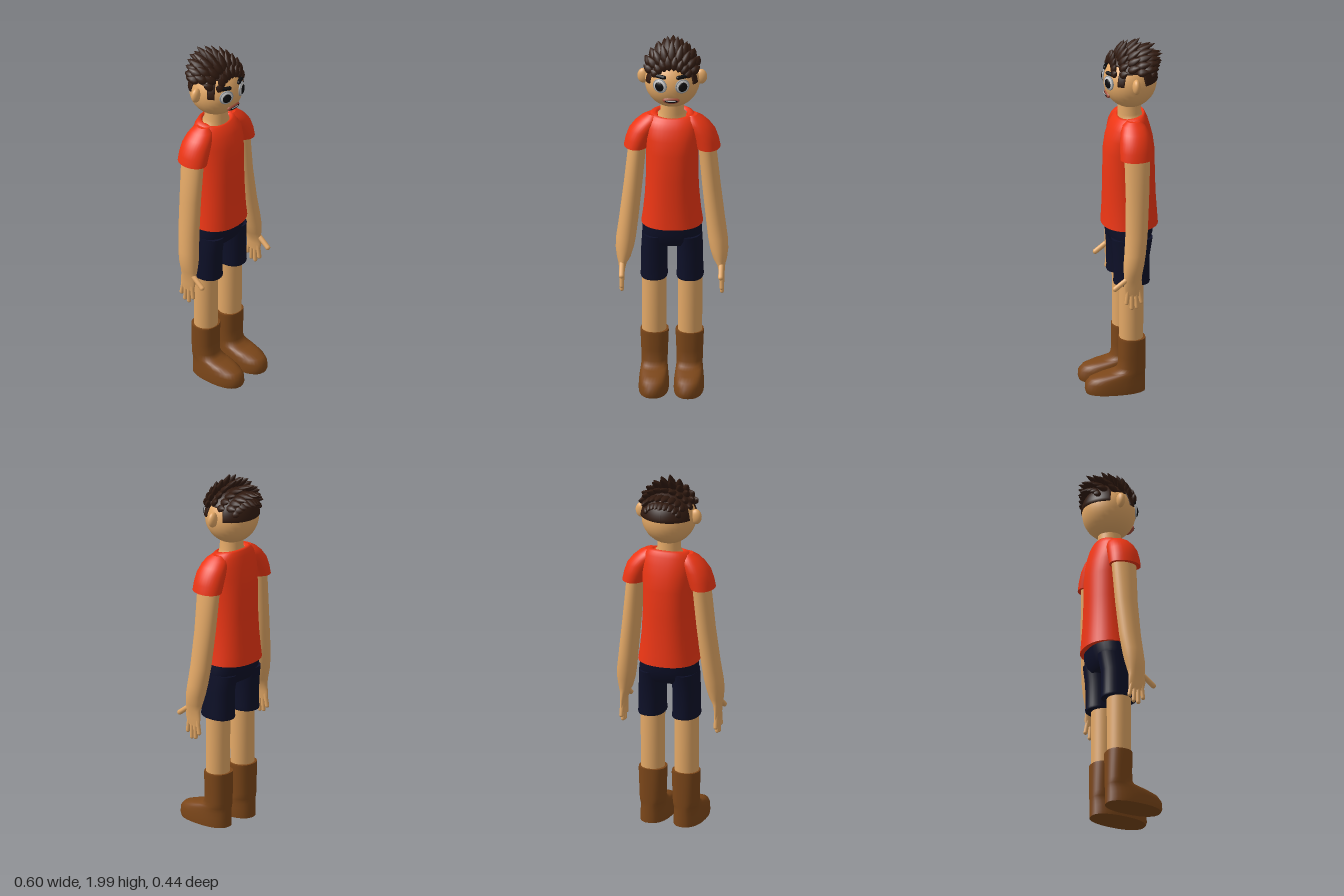
import * as THREE from 'three';

const mat = (color) => new THREE.MeshStandardMaterial({ color });
const skin = mat(0xe3a866), red = mat(0xee3614), navy = mat(0x0d1028), leather = mat(0x7b4619);
const brown = mat(0x301a10), black = mat(0x0c0c0e), grey = mat(0x9a9ea2), white = mat(0xf2f2f2), lip = mat(0xa8503c);
const HEAD = new THREE.Vector3(0, 1.757, -0.04);
const RX = 0.148, RY = 0.148, RZ = 0.143;

// Stacked horizontal rings, bottom first: [y, cx, cz, rx, rz, tilt]; n is the roundness exponent
function loft(rings, { n = 2, seg = 32, top = true } = {}) {
  const pos = [], idx = [];
  const point = ([y, cx, cz, rx, rz, tilt = 0], j) => {
    const a = (j / seg) * Math.PI * 2, s = Math.sin(a), c = Math.cos(a);
    const dz = rz * Math.sign(c) * Math.abs(c) ** (2 / n);
    pos.push(cx + rx * Math.sign(s) * Math.abs(s) ** (2 / n), y + tilt * dz, cz + dz);
  };
  rings.forEach((r, i) => {
    for (let j = 0; j < seg; j++) {
      point(r, j);
      if (i === 0) continue;
      const k = (j + 1) % seg, a = (i - 1) * seg, b = i * seg;
      idx.push(a + j, a + k, b + k, a + j, b + k, b + j);
    }
  });
  const cap = (r, up) => {
    const c = pos.length / 3;
    pos.push(r[1], r[0], r[2]);
    for (let j = 0; j < seg; j++) point(r, j);
    for (let j = 0; j < seg; j++) {
      const p = c + 1 + j, q = c + 1 + ((j + 1) % seg);
      idx.push(c, up ? p : q, up ? q : p);
    }
  };
  cap(rings[0], false);
  if (top) cap(rings[rings.length - 1], true);
  return indexed(pos, idx);
}

function indexed(pos, idx) {
  const g = new THREE.BufferGeometry();
  g.setAttribute('position', new THREE.Float32BufferAttribute(pos, 3));
  g.setIndex(idx);
  g.computeVertexNormals();
  return g;
}

function add(parent, name, geo, material, p = [0, 0, 0], scale = [1, 1, 1]) {
  const m = new THREE.Mesh(geo, material);
  m.name = name;
  m.position.set(...p);
  m.scale.set(...scale);
  parent.add(m);
  return m;
}

const ball = (parent, name, material, p, r) =>
  add(parent, name, new THREE.SphereGeometry(1, 28, 20), material, p, r);

// Rounded bar between two points
function bar(parent, name, material, from, to, r) {
  const a = new THREE.Vector3(...from), b = new THREE.Vector3(...to), d = b.clone().sub(a);
  const m = add(parent, name, new THREE.CapsuleGeometry(r, d.length(), 6, 12), material,
    a.clone().add(b).multiplyScalar(0.5).toArray());
  m.quaternion.setFromUnitVectors(new THREE.Vector3(0, 1, 0), d.normalize());
  return m;
}

// Close-cropped hair shell whose lower edge follows the hairline
function hairCap() {
  const pos = [], idx = [], cols = 120, rows = 14;
  const hairline = (a) => (a < 0.86 ? 1.862 : a < 1.2 ? 1.77 : a < 1.95 ? 1.835 : 1.77);
  for (let j = 0; j <= cols; j++) {
    const a = (j / cols) * Math.PI * 2 - Math.PI;
    const end = Math.acos((hairline(Math.abs(a)) - HEAD.y) / RY);
    for (let i = 0; i <= rows; i++) {
      const t = end * Math.min(1, i / (rows - 1)), k = i === rows ? 0.98 : 1.045;
      pos.push(RX * k * Math.sin(t) * Math.sin(a), RY * k * Math.cos(t), RZ * k * Math.sin(t) * Math.cos(a));
      if (i && j) {
        const q = j * (rows + 1) + i, p = q - rows - 1;
        idx.push(p - 1, p, q, p - 1, q, q - 1);
      }
    }
  }
  return indexed(pos, idx);
}

// Leaf-shaped tufts swept up and back over the scalp
function addTufts(parent) {
  const profile = [[0, 0], [0.7, 0.15], [1, 0.38], [0.85, 0.62], [0.45, 0.85], [0, 1]]
    .map(([r, y]) => new THREE.Vector2(r, y));
  const leaf = new THREE.LatheGeometry(profile, 10);
  const rows = [[40, 0.09], [58, 0.125], [76, 0.135], [95, 0.135], [113, 0.125], [130, 0.085]];
  rows.forEach(([deg, length], row) => {
    const phi = THREE.MathUtils.degToRad(deg);
    const count = row % 2 ? 9 : 8;
    for (let i = 0; i < count; i++) {
      const latDeg = (i - (count - 1) / 2) * 14, lat = THREE.MathUtils.degToRad(latDeg);
      const n = new THREE.Vector3(Math.sin(lat) * Math.sin(phi), Math.cos(lat) * Math.sin(phi), Math.cos(phi));
      const t = new THREE.Vector3(Math.sin(lat) * Math.cos(phi), Math.cos(lat) * Math.cos(phi), -Math.sin(phi));
      const dir = t.clone().multiplyScalar(0.88).addScaledVector(n, 0.47).normalize();
      const side = new THREE.Vector3().crossVectors(dir, n).normalize();
      const out = new THREE.Vector3().crossVectors(side, dir);
      const m = add(parent, 'hairTuft', leaf, brown,
        [n.x * RX, HEAD.y + n.y * RY, HEAD.z + n.z * RZ],
        [0.023, length * (1 - 0.0085 * Math.abs(latDeg)), 0.016]);
      m.quaternion.setFromRotationMatrix(new THREE.Matrix4().makeBasis(side, dir, out));
    }
  });
}

function addHead(root) {
  const head = new THREE.Group();
  head.name = 'head';
  root.add(head);
  ball(head, 'skull', skin, HEAD.toArray(), [RX, RY, RZ]);
  add(head, 'hairCap', hairCap(), brown, HEAD.toArray()).material = Object.assign(brown.clone(), { side: THREE.DoubleSide });
  addTufts(head);
  // Lips with teeth in a dark gap
  ball(head, 'lips', lip, [0, 1.688, 0.083], [0.046, 0.02, 0.016]);
  ball(head, 'mouthGap', black, [0, 1.687, 0.092], [0.036, 0.01, 0.009]);
  ball(head, 'teeth', white, [0, 1.689, 0.096], [0.028, 0.004, 0.006]);
  for (const s of [1, -1]) {
    ball(head, 'ear', skin, [s * 0.155, 1.776, -0.045], [0.032, 0.042, 0.022]);
    const eye = new THREE.Group();
    eye.name = 'eye';
    eye.position.set(s * 0.06, 1.773, 0.087);
    eye.rotation.y = s * 0.42;
    head.add(eye);
    ball(eye, 'eyeWhite', white, [0, 0, 0], [0.037, 0.038, 0.012]);
    add(eye, 'eyeRim', new THREE.TorusGeometry(0.036, 0.005, 8, 28), grey);
    ball(eye, 'pupil', black, [0, -0.002, 0.006], [0.026, 0.028, 0.011]);
    bar(head, 'eyebrow', black, [s * 0.038, 1.823, 0.09], [s * 0.085, 1.826, 0.067], 0.011);
  }
}

function addArm(root, s) {
  const arm = new THREE.Group();
  arm.name = s > 0 ? 'leftArm' : 'rightArm';
  root.add(arm);
  add(arm, 'sleeve', loft([
    [1.375, s * 0.193, -0.038, 0.066, 0.088], [1.42, s * 0.18, -0.038, 0.07, 0.088],
    [1.47, s * 0.16, -0.038, 0.073, 0.084], [1.51, s * 0.135, -0.038, 0.068, 0.075],
    [1.54, s * 0.115, -0.038, 0.055, 0.06], [1.56, s * 0.105, -0.038, 0.03, 0.035],
  ]), red);
  add(arm, 'armAndPalm', loft([
    [0.615, s * 0.267, -0.008, 0.011, 0.044], [0.66, s * 0.267, -0.004, 0.016, 0.05],
    [0.7, s * 0.264, -0.002, 0.022, 0.048], [0.735, s * 0.258, -0.004, 0.037, 0.05],
    [0.79, s * 0.253, -0.01, 0.049, 0.056], [0.85, s * 0.246, -0.018, 0.053, 0.058],
    [0.95, s * 0.233, -0.028, 0.052, 0.06], [1.15, s * 0.21, -0.038, 0.05, 0.063],
    [1.38, s * 0.187, -0.042, 0.048, 0.07], [1.43, s * 0.17, -0.042, 0.045, 0.07],
  ]), skin);
  [[0.03, 0.575], [0.004, 0.545], [-0.021, 0.55], [-0.044, 0.578]].forEach(([z, y]) =>
    bar(arm, 'finger', skin, [s * 0.267, 0.65, z * 0.8], [s * 0.268, y, z * 1.1], 0.0115));
  bar(arm, 'thumb', skin, [s * 0.266, 0.71, 0.03], [s * 0.266, 0.66, 0.095], 0.014);
}

function addLeg(root, s) {
  const leg = new THREE.Group();
  leg.name = s > 0 ? 'leftLeg' : 'rightLeg';
  root.add(leg);
  const x = s * 0.096;
  add(leg, 'shortsLeg', loft([
    [0.625, x, -0.028, 0.071, 0.096], [0.635, x, -0.028, 0.074, 0.099], [0.65, x, -0.028, 0.071, 0.096],
    [0.78, x, -0.028, 0.07, 0.098], [0.88, s * 0.09, -0.032, 0.07, 0.112],
  ], { n: 2.3 }), navy);
  add(leg, 'shin', loft([[0.28, x, -0.027, 0.065, 0.064], [0.66, x, -0.027, 0.066, 0.066]]), skin);
  // Boot: heel fixed at the back, toe receding as it rises
  const boot = [
    [0, 0.218, 0.08], [0.02, 0.225, 0.081], [0.055, 0.222, 0.079], [0.08, 0.2, 0.076], [0.097, 0.15, 0.073],
    [0.108, 0.1, 0.071], [0.118, 0.062, 0.07], [0.14, 0.044, 0.07], [0.2, 0.042, 0.072],
    [0.295, 0.043, 0.076], [0.308, 0.042, 0.075],
  ].map(([y, toe, rx]) => [y, s * 0.094, (toe - 0.102) / 2, rx, (toe + 0.102) / 2]);
  add(leg, 'boot', loft(boot, { n: 2.35 }), leather);
}

export function createModel() {
  const root = new THREE.Group();
  root.name = 'figure';
  add(root, 'shirt', loft([
    [0.94, 0, -0.035, 0.165, 0.152], [1.0, 0, -0.035, 0.156, 0.148], [1.1, 0, -0.033, 0.146, 0.143],
    [1.22, 0, -0.032, 0.14, 0.14], [1.36, 0, -0.032, 0.14, 0.138], [1.44, 0, -0.033, 0.148, 0.126],
    [1.5, 0, -0.036, 0.148, 0.108], [1.54, 0, -0.04, 0.135, 0.09, -0.08], [1.562, 0, -0.042, 0.115, 0.076, -0.15],
    [1.57, 0, -0.042, 0.092, 0.068, -0.2], [1.555, 0, -0.042, 0.08, 0.06, -0.2],
  ], { n: 2.25, seg: 40, top: false }), red);
  add(root, 'neck', loft([
    [1.52, 0, -0.04, 0.1, 0.07], [1.555, 0, -0.038, 0.08, 0.066, -0.2], [1.575, 0, -0.037, 0.064, 0.063],
    [1.67, 0, -0.036, 0.062, 0.062],
  ]), skin);
  add(root, 'shortsHips', loft([
    [0.825, 0, -0.03, 0.15, 0.09], [0.85, 0, -0.032, 0.161, 0.108], [0.9, 0, -0.034, 0.16, 0.122],
    [0.96, 0, -0.035, 0.152, 0.128],
  ], { n: 2.4 }), navy);
  addHead(root);
  for (const s of [1, -1]) {
    addArm(root, s);
    addLeg(root, s);
  }
  return root;
}
